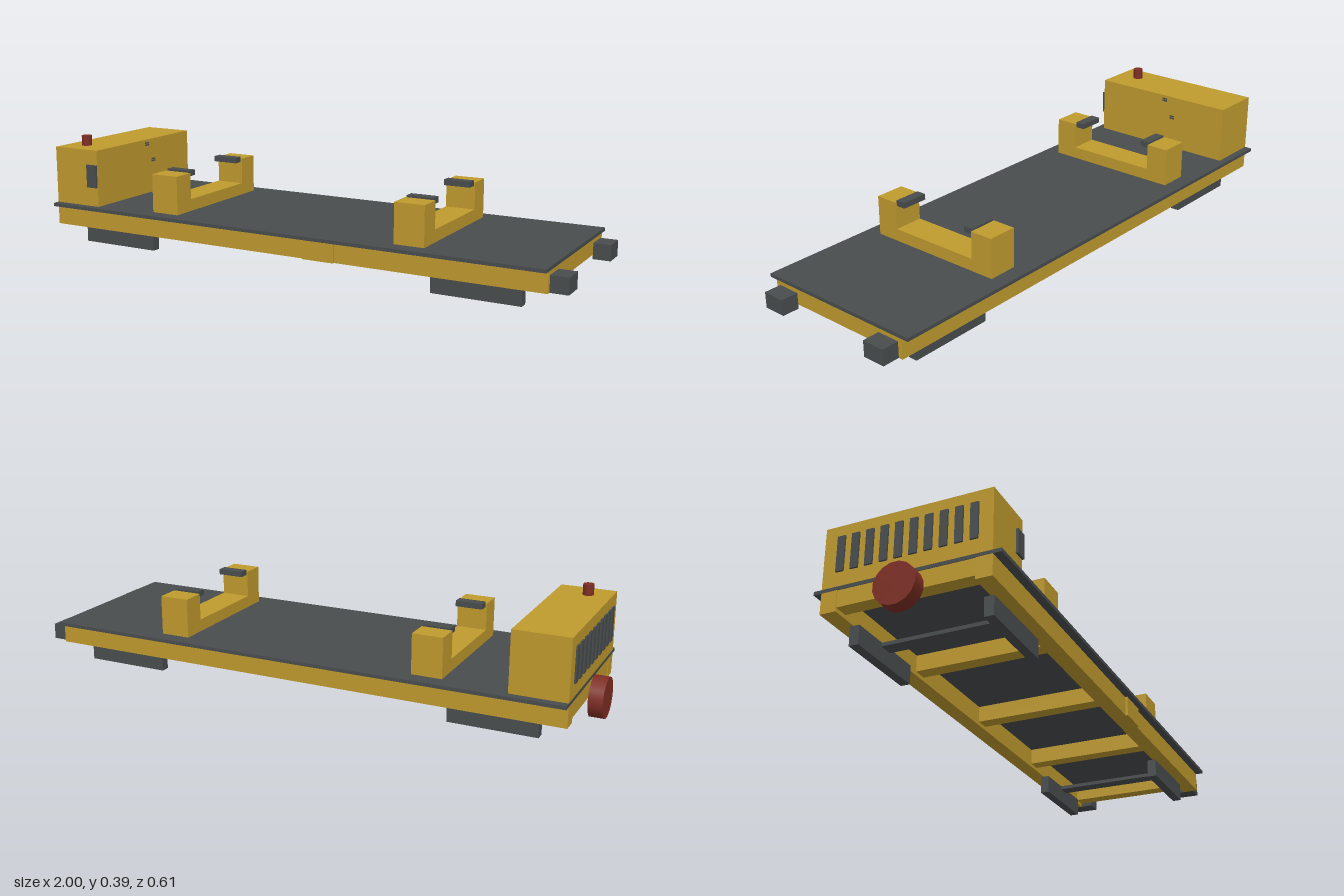
import * as THREE from 'three';

export function createModel() {
  const group = new THREE.Group();
  const mat = (name, color) => {
    const m = new THREE.MeshStandardMaterial({ color });
    m.name = name;
    return m;
  };
  const yellow = mat('machineYellow', 0xbf9a2e);
  const grey = mat('darkGrey', 0x494d4e);
  const red = mat('darkRed', 0x7e2e24);

  const add = (name, geometry, material) => {
    const mesh = new THREE.Mesh(geometry, material);
    mesh.name = name;
    group.add(mesh);
    return mesh;
  };
  // Box given by its limits on each axis
  const box = (name, material, x0, x1, y0, y1, z0, z1) =>
    add(name, new THREE.BoxGeometry(x1 - x0, y1 - y0, z1 - z0), material)
      .position.set((x0 + x1) / 2, (y0 + y1) / 2, (z0 + z1) / 2);
  // The same box on both sides, mirrored across z
  const pair = (name, material, x0, x1, y0, y1, z0, z1) => {
    box(name, material, x0, x1, y0, y1, z0, z1);
    box(name, material, x0, x1, y0, y1, -z1, -z0);
  };

  // Deck and frame
  box('deck', grey, -0.945, 0.942, 0.135, 0.147, -0.306, 0.306);
  pair('sideBeam', yellow, -0.945, 0.94, 0.065, 0.135, 0.225, 0.279);
  for (const x of [-0.918, -0.45, 0, 0.45, 0.913]) {
    box('crossBeam', yellow, x - 0.025, x + 0.025, 0.078, 0.135, -0.225, 0.225);
  }
  box('sidePlate', yellow, 0.105, 0.22, 0.065, 0.135, 0.279, 0.287);
  pair('bumper', grey, 0.94, 1, 0.065, 0.12, 0.182, 0.263);

  // Skids with their tie bars
  for (const x of [-0.695, 0.695]) {
    pair('skid', grey, x - 0.152, x + 0.152, 0, 0.065, 0.205, 0.237);
    box('tieBar', grey, x - 0.025, x + 0.025, 0.051, 0.064, -0.205, 0.205);
  }

  // Load cradles
  for (const x of [-0.476, 0.473]) {
    const h = 0.053;
    box('cradleBase', yellow, x - h, x + h, 0.147, 0.19, -0.168, 0.168);
    pair('cradlePost', yellow, x - h, x + h, 0.147, 0.285, 0.168, 0.251);
    pair('cradlePad', grey, x - 0.048, x + 0.048, 0.272, 0.292, 0.133, 0.168);
  }

  // Engine housing, side panel and latches
  box('engineHousing', yellow, -0.945, -0.755, 0.147, 0.354, -0.279, 0.279);
  box('sidePanel', grey, -0.799, -0.756, 0.217, 0.3, 0.279, 0.287);
  for (const [y, z] of [[0.337, -0.016], [0.272, -0.052]]) {
    for (const dy of [-0.004, 0.004]) {
      box('latch', grey, -0.755, -0.752, y + dy - 0.0025, y + dy + 0.0025, z - 0.01, z + 0.01);
    }
  }

  // Cooling slots on the end of the housing
  for (let i = 0; i < 10; i++) {
    const z = (i - 4.5) * 0.049;
    box('coolingSlot', grey, -0.951, -0.945, 0.195, 0.315, z - 0.013, z + 0.013);
  }

  // Exhaust and end wheel
  add('exhaust', new THREE.CylinderGeometry(0.0185, 0.0185, 0.037, 16), red)
    .position.set(-0.868, 0.3725, 0.196);
  const disc = new THREE.CylinderGeometry(0.0695, 0.0695, 0.048, 16, 1, false, Math.PI / 16);
  disc.rotateZ(Math.PI / 2);
  add('endWheel', disc, red).position.set(-0.976, 0.078, 0);

  return group;
}
